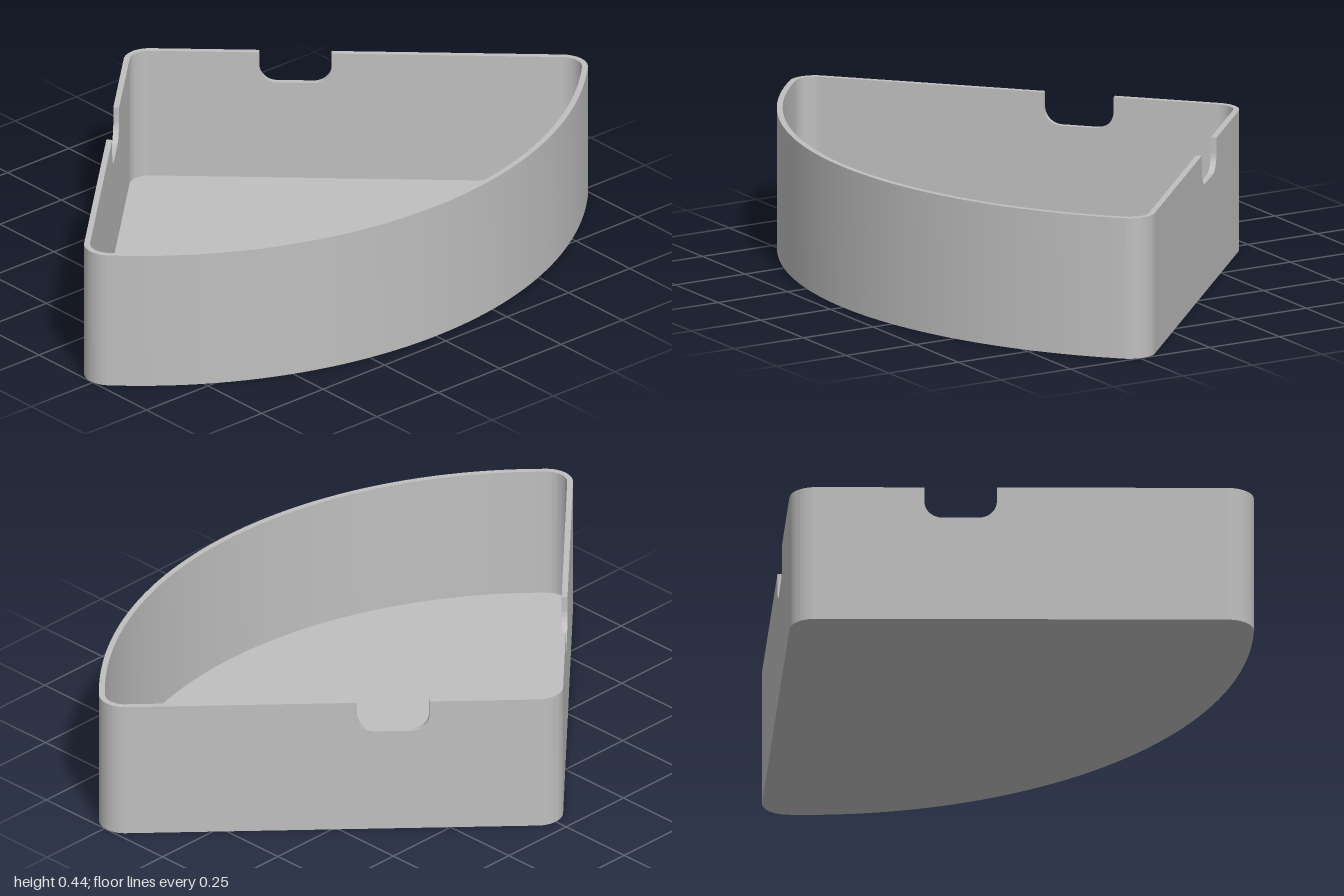
import * as THREE from 'three';
import { toCreasedNormals } from 'three/addons/utils/BufferGeometryUtils.js';

// Plan dimensions: two straight walls meeting at a rounded apex, closed by a bowed wall
const HEIGHT = 0.445, WALL = 0.018, FLOOR = 0.018, R = 0.08;
const APEX = -0.625;                 // centre of the apex rounding
const CX = 0.24, CZ = 0.92;          // centres of the two outer corner roundings
const BOW = -0.667, BOW_R = 1.372;   // centre and radius of the bowed wall
const LEN = Math.hypot(CX - APEX, CZ);
const H = Math.atan2(CZ, CX - APEX); // half angle of the wedge
const PSI = Math.atan2(CZ, CX - BOW); // where the corner rounding meets the bow
const Q = Math.PI / 2 + H;

// Bowed side with both rounded corners, moved inwards by "inset"
function traceBow(path, inset, reverse = false) {
  const arcs = [
    [CX, -CZ, R - inset, -Q, -PSI],
    [BOW, 0, BOW_R - inset, -PSI, PSI],
    [CX, CZ, R - inset, PSI, Q],
  ];
  if (reverse) arcs.reverse().forEach(([x, y, r, a, b]) => path.absarc(x, y, r, b, a, true));
  else arcs.forEach(([x, y, r, a, b]) => path.absarc(x, y, r, a, b, false));
}

// Extrudes a plan shape upwards
function raise(shape, depth) {
  const g = new THREE.ExtrudeGeometry(shape, { depth, bevelEnabled: false, curveSegments: 32 });
  g.rotateX(-Math.PI / 2);
  return toCreasedNormals(g, 0.6);
}

// Straight wall with a round-cornered notch in its top edge
function notchedWall() {
  const u0 = 0.333, u1 = 0.555, bottom = 0.343, r = 0.055;
  const s = new THREE.Shape();
  s.moveTo(0, 0);
  s.lineTo(LEN, 0);
  s.lineTo(LEN, HEIGHT);
  s.lineTo(u1, HEIGHT);
  s.absarc(u1 - r, bottom + r, r, 0, -Math.PI / 2, true);
  s.absarc(u0 + r, bottom + r, r, -Math.PI / 2, -Math.PI, true);
  s.lineTo(u0, HEIGHT);
  s.lineTo(0, HEIGHT);
  s.closePath();
  const g = new THREE.ExtrudeGeometry(s, { depth: WALL, bevelEnabled: false, curveSegments: 10 });
  return toCreasedNormals(g, 0.6);
}

export function createModel() {
  const group = new THREE.Group();
  group.name = 'wedgeTray';
  const grey = new THREE.MeshStandardMaterial({ color: 0xbfbfbf });
  grey.name = 'grey';
  const add = (name, geometry) => {
    const mesh = new THREE.Mesh(geometry, grey);
    mesh.name = name;
    group.add(mesh);
    return mesh;
  };

  // Floor, fitted inside the walls
  const floor = new THREE.Shape();
  traceBow(floor, WALL);
  floor.absarc(APEX, 0, R - WALL, Q, 2 * Math.PI - Q, false);
  floor.closePath();
  add('floor', raise(floor, FLOOR));

  // Bowed wall with its rounded corners
  const bow = new THREE.Shape();
  traceBow(bow, 0);
  traceBow(bow, WALL, true);
  bow.closePath();
  add('bowedWall', raise(bow, HEIGHT));

  // Rounded wall at the apex
  const apex = new THREE.Shape();
  apex.absarc(APEX, 0, R, Q, 2 * Math.PI - Q, false);
  apex.absarc(APEX, 0, R - WALL, 2 * Math.PI - Q, Q, true);
  apex.closePath();
  add('apexWall', raise(apex, HEIGHT));

  // Two straight notched walls
  const panel = notchedWall();
  for (const side of [1, -1]) {
    const wall = add(side > 0 ? 'frontWall' : 'backWall', panel);
    const offset = side > 0 ? R - WALL : R;
    wall.rotation.y = -side * H;
    wall.position.set(APEX - Math.sin(H) * offset, 0, side * Math.cos(H) * offset);
  }
  return group;
}
